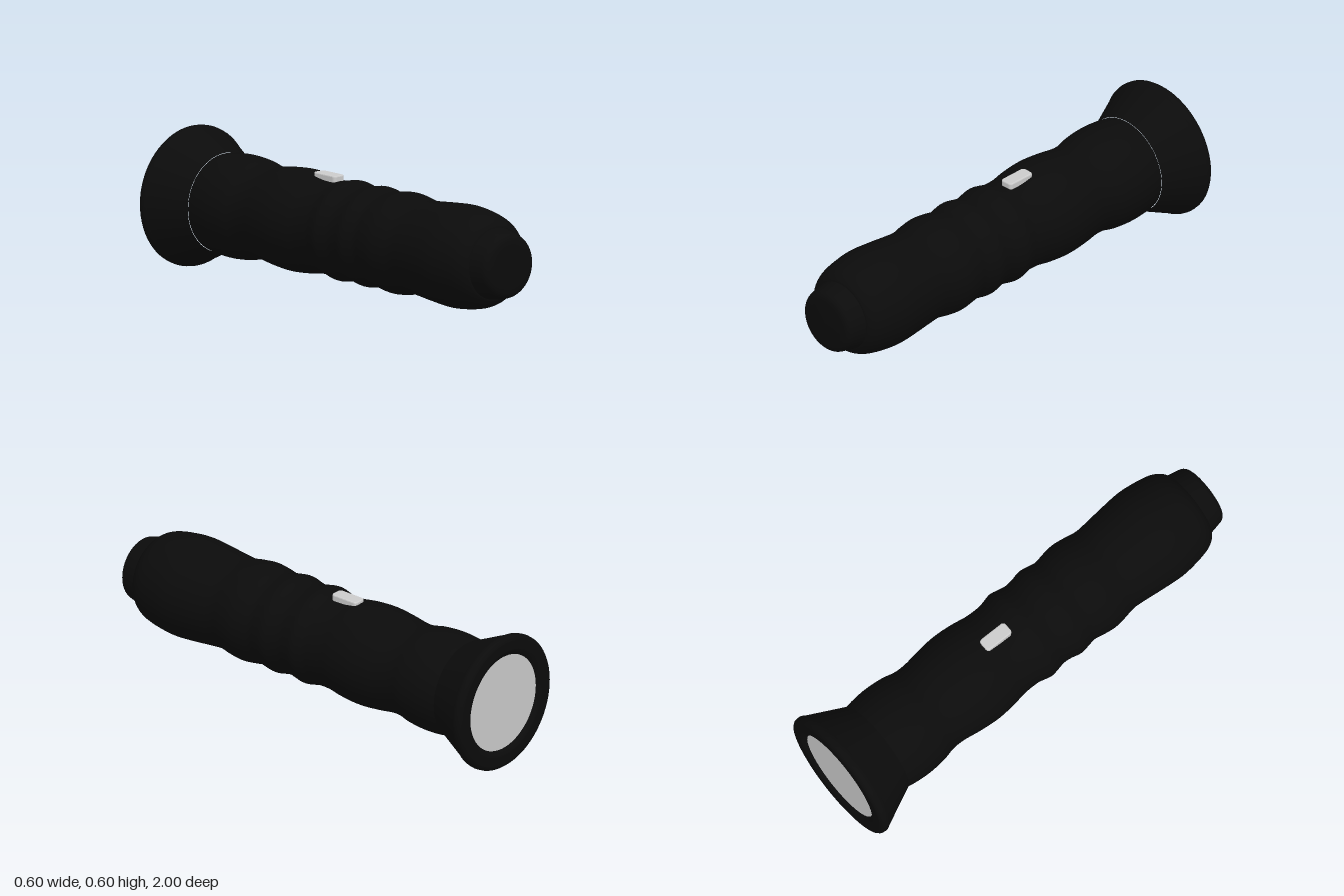
import * as THREE from 'three';

const AXIS_Y = 0.3;
const v = ([r, z]) => new THREE.Vector2(r, z);

// Smooth curve through [radius, z] points; repeated end points keep creases sharp
const smooth = (pts, n) => new THREE.SplineCurve(pts.map(v)).getPoints(n);

// Revolve a profile of [radius, z] around the long axis
function revolve(points, material, name) {
  const geo = new THREE.LatheGeometry(points, 72);
  geo.rotateX(Math.PI / 2);
  const mesh = new THREE.Mesh(geo, material);
  mesh.name = name;
  mesh.position.y = AXIS_Y;
  return mesh;
}

function roundedRect(w, l, r) {
  const s = new THREE.Shape();
  const x = w / 2 - r, y = l / 2 - r;
  s.absarc(x, y, r, 0, Math.PI / 2);
  s.absarc(-x, y, r, Math.PI / 2, Math.PI);
  s.absarc(-x, -y, r, Math.PI, Math.PI * 1.5);
  s.absarc(x, -y, r, Math.PI * 1.5, Math.PI * 2);
  s.closePath();
  return s;
}

export function createModel() {
  const group = new THREE.Group();
  group.name = 'flashlight';
  const black = new THREE.MeshStandardMaterial({ color: 0x0b0b0b });
  const grey = new THREE.MeshStandardMaterial({ color: 0xcccccc });

  // Flared head with a rounded bezel around the lens
  const head = [
    [0.212, -0.985], [0.226, -0.997], [0.24, -1], [0.24, -1], [0.28, -1], [0.28, -1],
    [0.291, -0.997], [0.298, -0.988], [0.3, -0.974], [0.298, -0.963], [0.291, -0.952],
    [0.291, -0.952], [0.212, -0.785],
  ].map(v);
  group.add(revolve(head, black, 'head'));

  // Wavy grip with finger bulges
  const grip = smooth([
    [0.21, -0.785], [0.217, -0.74], [0.221, -0.67], [0.215, -0.59], [0.202, -0.53],
    [0.201, -0.47], [0.212, -0.39], [0.219, -0.3], [0.213, -0.21], [0.202, -0.14],
    [0.201, -0.07], [0.208, -0.035], [0.215, 0], [0.209, 0.035], [0.202, 0.075],
    [0.206, 0.115], [0.215, 0.16], [0.208, 0.205], [0.203, 0.24], [0.211, 0.285],
    [0.217, 0.34], [0.211, 0.395], [0.201, 0.455], [0.205, 0.52], [0.213, 0.6],
    [0.22, 0.7], [0.213, 0.78], [0.2, 0.845], [0.183, 0.882], [0.163, 0.903], [0.151, 0.908],
  ], 150);
  group.add(revolve(grip, black, 'grip'));

  // Rounded end cap
  const cap = smooth([
    [0.153, 0.905], [0.149, 0.925], [0.143, 0.955], [0.136, 0.98], [0.12, 0.994], [0.095, 0.999],
  ], 24);
  cap.push(v([0, 1]));
  group.add(revolve(cap, black, 'endCap'));

  // Flat lens facing backwards
  const lens = new THREE.Mesh(new THREE.CircleGeometry(0.214, 72), grey);
  lens.name = 'lens';
  lens.rotation.y = Math.PI;
  lens.position.set(0, AXIS_Y, -0.986);
  group.add(lens);

  // Switch button with a bevelled top
  const buttonGeo = new THREE.ExtrudeGeometry(roundedRect(0.05, 0.125, 0.01), {
    depth: 0.03, bevelThickness: 0.005, bevelSize: 0.005, bevelSegments: 2, curveSegments: 5,
  });
  buttonGeo.rotateX(-Math.PI / 2);
  const button = new THREE.Mesh(buttonGeo, grey);
  button.name = 'switchButton';
  button.position.set(0, 0.49, -0.138);
  group.add(button);

  return group;
}
